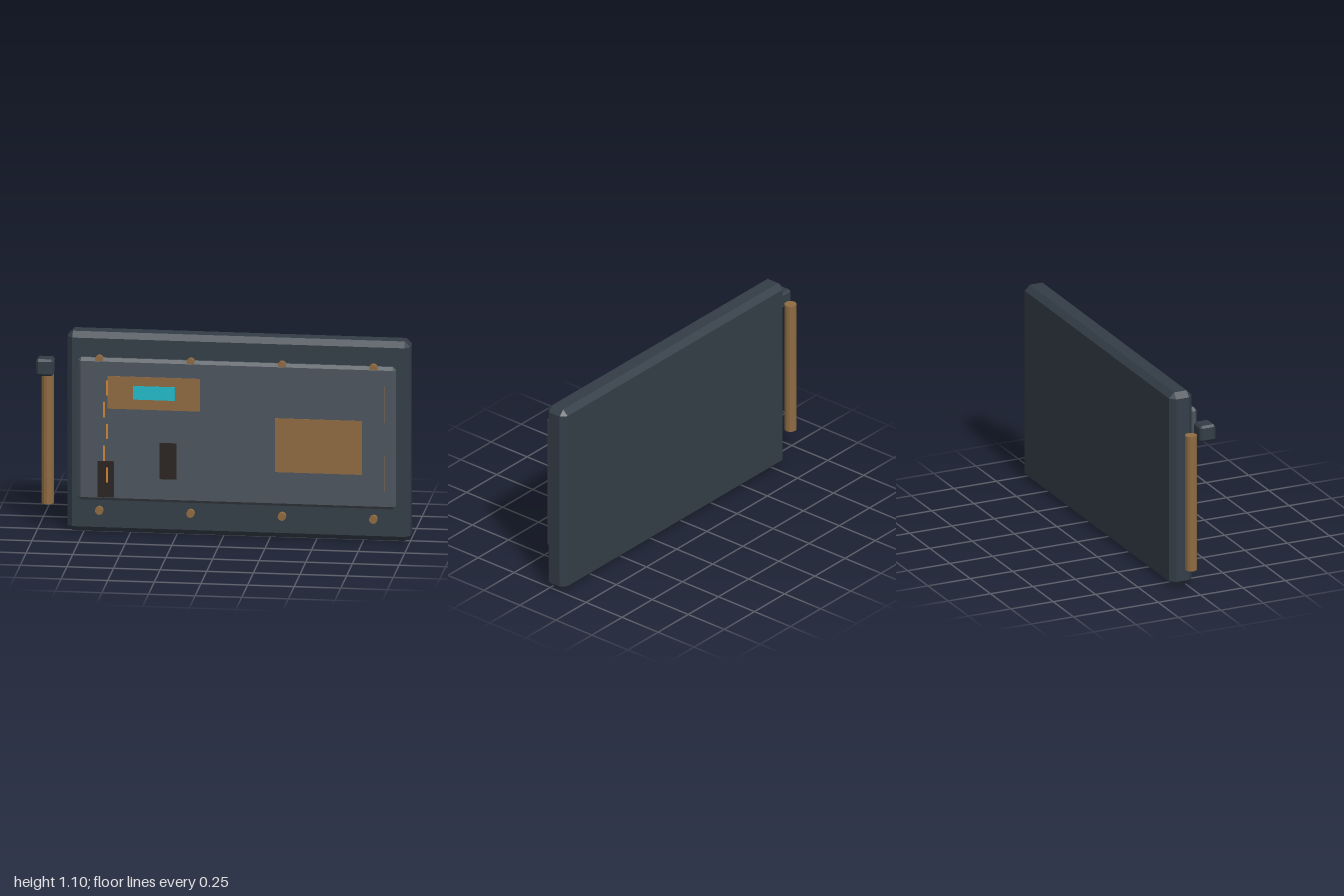
import * as THREE from 'three';
import { ConvexGeometry } from 'three/addons/geometries/ConvexGeometry.js';

const mat = (color) => new THREE.MeshStandardMaterial({ color, flatShading: true });
const slate = mat(0x333d47), panelGrey = mat(0x4d555d), bronze = mat(0x8f6b42);
const cyan = mat(0x22bccb), dark = mat(0x2a2420), orange = mat(0xd08432);

// Box with every edge cut at 45 degrees
function chamferBox(w, h, d, c) {
  const half = [w / 2, h / 2, d / 2], points = [];
  for (const sx of [-1, 1]) for (const sy of [-1, 1]) for (const sz of [-1, 1])
    for (let axis = 0; axis < 3; axis++) {
      const p = half.map((v, i) => (i === axis ? v : v - c));
      points.push(new THREE.Vector3(p[0] * sx, p[1] * sy, p[2] * sz));
    }
  return new ConvexGeometry(points);
}

export function createModel() {
  const model = new THREE.Group();
  model.name = 'wallConsole';

  const add = (name, geometry, material, x, y, z) => {
    const mesh = new THREE.Mesh(geometry, material);
    mesh.name = name;
    mesh.position.set(x, y, z);
    model.add(mesh);
    return mesh;
  };
  // Chamfered block given by its limits
  const block = (name, material, [x0, x1], [y0, y1], [z0, z1], c) =>
    add(name, chamferBox(x1 - x0, y1 - y0, z1 - z0, c), material,
      (x0 + x1) / 2, (y0 + y1) / 2, (z0 + z1) / 2);
  // Thin plate lying on the front panel, up to depth z
  const plate = (name, material, x0, x1, y0, y1, z) =>
    add(name, new THREE.BoxGeometry(x1 - x0, y1 - y0, 0.01), material,
      (x0 + x1) / 2, (y0 + y1) / 2, z - 0.005);

  // Main slab and raised front panel
  block('backSlab', slate, [-0.84, 1], [0, 1.1], [-0.096, 0.038], 0.03);
  block('frontPanel', panelGrey, [-0.775, 0.93], [0.19, 0.975], [0.048, 0.092], 0.017);

  // Two rows of bolts
  for (const y of [0.133, 0.967])
    for (let i = 0; i < 4; i++)
      add('bolt', new THREE.CylinderGeometry(0.022, 0.022, 0.028, 12), bronze,
        -0.66 + i * 0.49, y, 0.077).rotation.x = Math.PI / 2;

  // Plates, display and dark slots
  plate('displayPlate', bronze, -0.615, -0.117, 0.7, 0.88, 0.095);
  plate('display', cyan, -0.477, -0.253, 0.755, 0.83, 0.097);
  plate('accessPlate', bronze, 0.285, 0.752, 0.38, 0.677, 0.095);
  plate('slot', dark, -0.335, -0.245, 0.32, 0.52, 0.094);
  plate('slot', dark, -0.667, -0.58, 0.21, 0.41, 0.094);

  // Staggered dashed strip and fine seams
  for (let i = 0; i < 5; i++) {
    const x = i % 2 ? -0.632 : -0.617, y = 0.333 + i * 0.12;
    plate('stripDash', orange, x - 0.005, x + 0.005, y - 0.041, y + 0.041, 0.097);
  }
  for (const y of [0.39, 0.77])
    plate('seam', bronze, 0.868, 0.872, y - 0.1, y + 0.1, 0.093);

  // Side post with its block
  add('sidePost', new THREE.CylinderGeometry(0.033, 0.033, 0.765, 12), bronze, -0.95, 0.5175, -0.033);
  block('postBlock', slate, [-1, -0.905], [0.865, 0.957], [0, 0.092], 0.012);

  return model;
}
